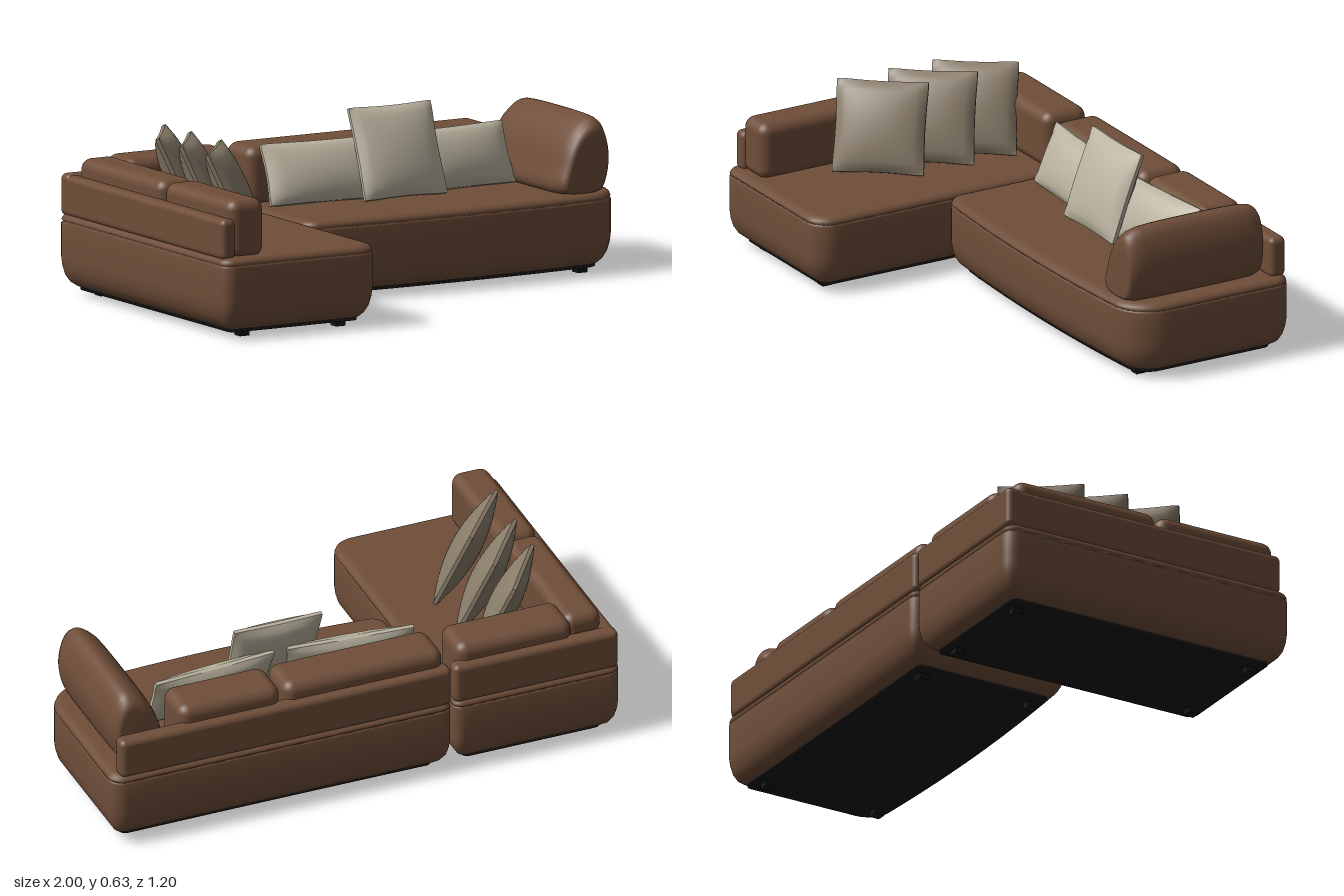
import * as THREE from 'three';
import { RoundedBoxGeometry } from 'three/addons/geometries/RoundedBoxGeometry.js';

const material = (name, color) => {
  const m = new THREE.MeshStandardMaterial({ color });
  m.name = name;
  return m;
};

// Skin closed rings of points and cap both ends
function loft(rings) {
  const n = rings[0].length, pos = [], idx = [];
  rings.forEach((r) => r.forEach((p) => pos.push(p.x, p.y, p.z)));
  for (let i = 0; i < rings.length - 1; i++) {
    for (let j = 0; j < n; j++) {
      const a = i * n + j, b = i * n + (j + 1) % n;
      idx.push(a, a + n, b, b, a + n, b + n);
    }
  }
  [0, rings.length - 1].forEach((r, end) => {
    const c = rings[r].reduce((s, p) => s.add(p), new THREE.Vector3()).divideScalar(n);
    const k = pos.length / 3;
    pos.push(c.x, c.y, c.z);
    for (let j = 0; j < n; j++) {
      const a = r * n + j, b = r * n + (j + 1) % n;
      if (end) idx.push(k, b, a); else idx.push(k, a, b);
    }
  });
  const g = new THREE.BufferGeometry();
  g.setAttribute('position', new THREE.Float32BufferAttribute(pos, 3));
  g.setIndex(idx);
  g.computeVertexNormals();
  return g;
}

// Rounded rectangle in plan, inset by d at height y, with an optional bowed front
function planRing({ x0, x1, z0, z1, radii, bow = 0 }, d, y) {
  const cx = (x0 + x1) / 2, pts = [];
  const corners = [[x1, z1, -1, -1], [x0, z1, 1, -1], [x0, z0, 1, 1], [x1, z0, -1, 1]];
  const add = (x, z) => {
    const u = (x - cx) / ((x1 - x0) / 2);
    pts.push(new THREE.Vector3(x, y, z + bow * (1 - u * u) * (z - z0) / (z1 - z0)));
  };
  corners.forEach(([x, z, sx, sz], q) => {
    const r = Math.max(radii[q] - d, 0.025);
    const px = x + sx * (d + r), pz = z + sz * (d + r);
    for (let i = 0; i <= 8; i++) {
      const a = (q + i / 8) * Math.PI / 2;
      add(px + r * Math.cos(a), pz + r * Math.sin(a));
    }
    // Points along the following straight side
    const [nx, nz, tx, tz] = corners[(q + 1) % 4];
    const nr = Math.max(radii[(q + 1) % 4] - d, 0.025);
    const e = (q + 1) * Math.PI / 2;
    const ax = px + r * Math.cos(e), az = pz + r * Math.sin(e);
    const bx = nx + tx * (d + nr) + nr * Math.cos(e), bz = nz + tz * (d + nr) + nr * Math.sin(e);
    for (let i = 1; i < 12; i++) add(ax + (bx - ax) * i / 12, az + (bz - az) * i / 12);
  });
  return pts;
}

// Square pillow: thick in the middle, thin edges, slightly drawn-in sides
function pillowGeometry(w, h, t) {
  const g = new THREE.BoxGeometry(2, 2, 2, 18, 18, 1);
  const p = g.attributes.position;
  for (let i = 0; i < p.count; i++) {
    const u = p.getX(i), v = p.getY(i), s = p.getZ(i);
    const puff = Math.pow(Math.max(0, (1 - u * u) * (1 - v * v)), 0.55);
    p.setXYZ(i,
      w / 2 * u * (1 - 0.04 * (1 - v * v) - 0.02 * Math.pow(v, 8)),
      h / 2 * v * (1 - 0.04 * (1 - u * u) - 0.02 * Math.pow(u, 8)),
      s * (0.007 + t / 2 * puff));
  }
  g.computeVertexNormals();
  return g;
}

export function createModel() {
  const group = new THREE.Group();
  const leather = material('brown leather', 0x6f4e39);
  const cream = material('cream fabric', 0xbbb3a0);
  const taupe = material('taupe fabric', 0x8a7d6b);
  const black = material('black underside', 0x141414);

  const add = (name, geometry, mat) => {
    const m = new THREE.Mesh(geometry, mat);
    m.name = name;
    group.add(m);
    return m;
  };
  const box = (name, x0, x1, y0, y1, z0, z1, r) =>
    add(name, new RoundedBoxGeometry(x1 - x0, y1 - y0, z1 - z0, 5, r), leather)
      .position.set((x0 + x1) / 2, (y0 + y1) / 2, (z0 + z1) / 2);

  // Seat bases: rounded underneath, with a seam below the top edge
  const baseProfile = [[0.09, 0.027], [0.07, 0.028], [0.05, 0.034], [0.03, 0.05], [0.014, 0.075],
    [0.004, 0.108], [0, 0.14], [0, 0.2], [0, 0.266], [0.006, 0.27], [0.006, 0.274], [0.001, 0.278],
    [0.005, 0.288], [0.014, 0.296], [0.028, 0.3], [0.05, 0.301]];
  const bases = {
    chaise: { x0: -1, x1: -0.343, z0: -0.6, z1: 0.598, radii: [0.09, 0.05, 0.05, 0.04] },
    sofa: { x0: -0.337, x1: 1, z0: -0.6, z1: 0.062, radii: [0.14, 0.06, 0.04, 0.06], bow: 0.032 },
  };
  for (const [name, plan] of Object.entries(bases)) {
    add(name + 'Base', loft(baseProfile.map(([d, y]) => planRing(plan, d, y))), leather);
    add(name + 'Underside', loft([0.021, 0.029].map((y) => planRing(plan, 0.058, y))), black);
  }

  // Feet
  const legGeometry = new THREE.BoxGeometry(0.04, 0.025, 0.04);
  const feet = [[[-0.87, -0.465], [0.495, -0.49]], [[-0.21, 0.865], [-0.03, -0.49]]];
  feet.forEach(([xs, zs]) => xs.forEach((x) => zs.forEach((z) =>
    add('foot', legGeometry, black).position.set(x, 0.0125, z))));

  // Low rails behind the cushions
  box('chaiseBackRail', -0.99, -0.345, 0.29, 0.445, -0.595, -0.53, 0.022);
  box('sofaBackRail', -0.335, 0.965, 0.29, 0.445, -0.595, -0.53, 0.022);
  box('chaiseSideRail', -0.99, -0.93, 0.29, 0.44, -0.59, 0.56, 0.022);

  // Back cushions
  box('chaiseBackCushion', -0.825, -0.37, 0.29, 0.508, -0.562, -0.38, 0.042);
  box('sofaBackCushionWide', -0.318, 0.308, 0.29, 0.508, -0.562, -0.378, 0.042);
  box('sofaBackCushionNarrow', 0.32, 0.718, 0.29, 0.508, -0.562, -0.378, 0.042);
  box('sideCushionRear', -0.952, -0.805, 0.29, 0.506, -0.53, 0.06, 0.04);
  box('sideCushionFront', -0.952, -0.805, 0.29, 0.506, 0.07, 0.555, 0.04);

  // Leaning arm cushion, narrowing at both ends
  const armProfile = new THREE.CatmullRomCurve3(
    [[0.755, 0.3], [0.738, 0.33], [0.757, 0.4], [0.785, 0.48], [0.83, 0.545], [0.89, 0.58], [0.925, 0.562],
      [0.953, 0.49], [0.958, 0.41], [0.935, 0.32], [0.915, 0.298]].map(([x, y]) => new THREE.Vector3(x, y, 0)),
    true).getPoints(40).slice(0, -1);
  const half = [[0.283, 0.72], [0.28, 0.8], [0.27, 0.87], [0.25, 0.94], [0.22, 0.975], [0.16, 0.993], [0.08, 1]];
  const stations = [...half.map(([z, s]) => [-z, s]), ...half.slice().reverse()];
  add('armCushion', loft(stations.map(([z, s]) => armProfile.map((p) =>
    new THREE.Vector3(0.86 + (p.x - 0.86) * s, 0.36 + (p.y - 0.36) * s, z - 0.232)))), leather);

  // Scatter pillows: [name, material, width, height, thickness, x, z, turn, lean]
  [
    ['chaisePillowRear', taupe, 0.32, 0.345, 0.095, -0.68, -0.265, 0.96, 0.42],
    ['chaisePillowMiddle', taupe, 0.33, 0.345, 0.095, -0.683, -0.085, 0.93, 0.42],
    ['chaisePillowFront', taupe, 0.34, 0.345, 0.095, -0.69, 0.125, 0.89, 0.42],
    ['sofaPillowRight', cream, 0.49, 0.235, 0.09, -0.04, -0.31, -0.08, 0.4],
    ['sofaPillowLeft', cream, 0.49, 0.235, 0.09, 0.5, -0.31, 0.08, 0.4],
    ['sofaPillowCentre', cream, 0.35, 0.35, 0.09, 0.235, -0.262, 0, 0.36],
  ].forEach(([name, mat, w, h, t, x, z, turn, lean]) => {
    const m = add(name, pillowGeometry(w, h, t), mat);
    m.position.set(x, 0.302 + h / 2 * Math.cos(lean), z);
    m.rotation.set(-lean, turn, 0, 'YXZ');
  });

  return group;
}
